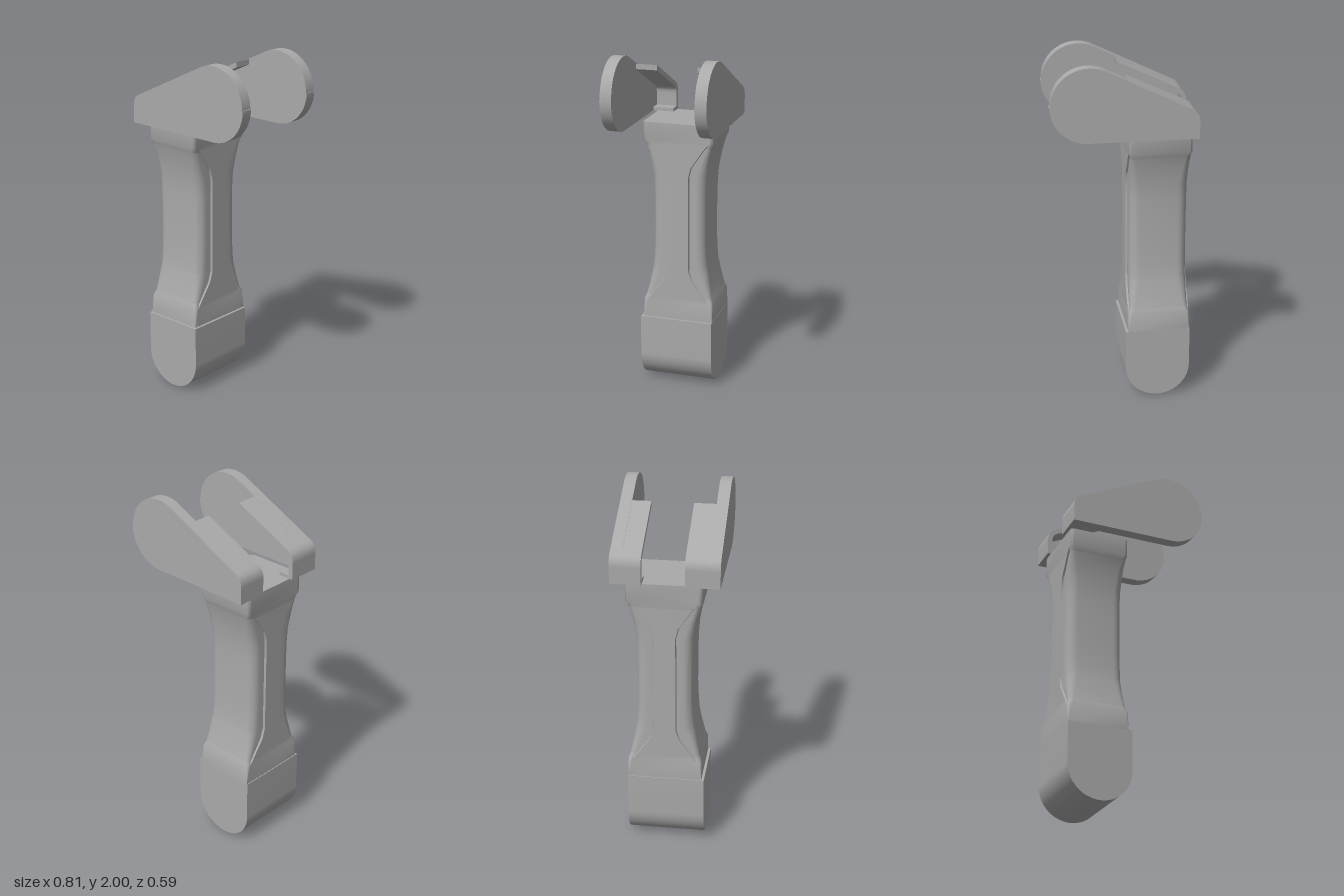
import * as THREE from 'three';
import { toCreasedNormals } from 'three/addons/utils/BufferGeometryUtils.js';

const grey = new THREE.MeshStandardMaterial({ color: 0xaaaaaa });
grey.name = 'plain grey';

function addMesh(group, name, geometry, crease = 0.5) {
  const mesh = new THREE.Mesh(toCreasedNormals(geometry, crease), grey);
  mesh.name = name;
  group.add(mesh);
}

// Extrude an x-y outline between two depths
function slab(shape, z0, z1) {
  const g = new THREE.ExtrudeGeometry(shape, { depth: z1 - z0, bevelEnabled: false, curveSegments: 24 });
  return g.translate(0, 0, z0);
}

// Smooth interpolation through [y, value] keys
function sample(keys, y) {
  for (let i = 1; i < keys.length; i++) {
    const [y0, v0] = keys[i - 1], [y1, v1] = keys[i];
    if (y <= y1) return v0 + (v1 - v0) * (y - y0) / (y1 - y0);
  }
  return keys[keys.length - 1][1];
}

// Rounded foot block
function footShape() {
  const s = new THREE.Shape();
  s.moveTo(-0.015, 0.415);
  s.lineTo(-0.385, 0.415);
  s.lineTo(-0.385, 0.185);
  s.absarc(-0.2, 0.185, 0.185, Math.PI, Math.PI * 2, false);
  s.closePath();
  return s;
}

// Teardrop side plate
function plateShape() {
  const s = new THREE.Shape();
  s.moveTo(-0.4, 1.59);
  s.lineTo(0.2, 1.59);
  s.absarc(0.2, 1.795, 0.205, -Math.PI / 2, 0, false);
  s.absarc(0.195, 1.795, 0.205, 0, 2.014, false);
  s.lineTo(-0.355, 1.757);
  s.quadraticCurveTo(-0.4, 1.737, -0.4, 1.685);
  s.closePath();
  return s;
}

// Thin wall following the back and slope of a plate, with a short foot flange
function lipShape() {
  const s = new THREE.Shape();
  s.moveTo(-0.31, 1.59);
  s.lineTo(-0.31, 1.61);
  s.lineTo(-0.373, 1.61);
  s.lineTo(-0.373, 1.685);
  s.quadraticCurveTo(-0.373, 1.718, -0.343, 1.732);
  s.lineTo(-0.01, 1.89);
  s.lineTo(-0.01, 1.92);
  s.lineTo(-0.355, 1.757);
  s.quadraticCurveTo(-0.4, 1.737, -0.4, 1.685);
  s.lineTo(-0.4, 1.59);
  s.closePath();
  return s;
}

// Waisted handle with recessed front and back grips
function handleGeometry() {
  const halfX = 0.175, cx = -0.205, cz = -0.007;
  const depth = [[0.415, 0.207], [0.525, 0.207], [0.55, 0.197], [0.6, 0.186], [0.66, 0.174], [0.73, 0.163],
    [0.8, 0.157], [0.9, 0.153], [1.1, 0.153], [1.2, 0.155], [1.28, 0.161], [1.35, 0.172], [1.41, 0.184],
    [1.46, 0.197], [1.485, 0.207], [1.59, 0.207]];
  const spine = [[0.415, 0.177], [0.525, 0.177], [0.56, 0.155], [0.66, 0.082], [0.72, 0.062], [1.28, 0.06],
    [1.34, 0.075], [1.45, 0.15], [1.485, 0.177], [1.59, 0.177]];
  const step = [[0.525, 0], [0.55, 0.009], [0.72, 0.012], [1.28, 0.012], [1.46, 0.009], [1.485, 0]];
  const round = [[0.525, 0.02], [0.6, 0.035], [0.72, 0.055], [1.28, 0.055], [1.41, 0.035], [1.485, 0.02]];
  const ys = [...new Set([...depth, ...spine].map(k => k[0]))].sort((a, b) => a - b);
  const pos = [], index = [];
  let n = 0;
  for (const y of ys) {
    const d = sample(depth, y), s = sample(spine, y);
    const inset = y < 0.525 ? 0 : sample(step, y);
    const r = sample(round, y);
    // one quarter: spine edge, step, then a rounded corner to the grip face
    const quarter = [[halfX, s], [halfX - inset, s + 0.004]];
    const z0 = Math.max(s + 0.006, d - r);
    for (let i = 0; i <= 8; i++) {
      const a = i / 8 * Math.PI / 2;
      quarter.push([halfX - inset - r * (1 - Math.cos(a)), z0 + (d - z0) * Math.sin(a)]);
    }
    const half = [...quarter, ...quarter.map(([x, z]) => [-x, z]).reverse()];
    const ring = [...half, ...half.map(([x, z]) => [-x, -z])];
    n = ring.length;
    for (const [x, z] of ring) pos.push(cx + x, y, cz + z);
  }
  for (let i = 0; i < ys.length - 1; i++) {
    for (let j = 0; j < n; j++) {
      const k = (j + 1) % n;
      const a = i * n + j, b = i * n + k, c = a + n, e = b + n;
      index.push(a, c, b, b, c, e);
    }
  }
  // flat top
  const top = (ys.length - 1) * n, mid = pos.length / 3;
  pos.push(cx, 1.59, cz);
  for (let j = 0; j < n; j++) index.push(mid, top + (j + 1) % n, top + j);
  const g = new THREE.BufferGeometry();
  g.setAttribute('position', new THREE.Float32BufferAttribute(pos, 3));
  g.setIndex(index);
  return g;
}

export function createModel() {
  const model = new THREE.Group();
  model.name = 'forkedHandle';
  addMesh(model, 'foot', slab(footShape(), -0.215, 0.215));
  addMesh(model, 'handle', handleGeometry(), 0.6);
  addMesh(model, 'frontPlate', slab(plateShape(), 0.228, 0.293));
  addMesh(model, 'backPlate', slab(plateShape(), -0.295, -0.23));
  addMesh(model, 'frontLip', slab(lipShape(), 0.106, 0.228));
  addMesh(model, 'backLip', slab(lipShape(), -0.23, -0.126));
  return model;
}
